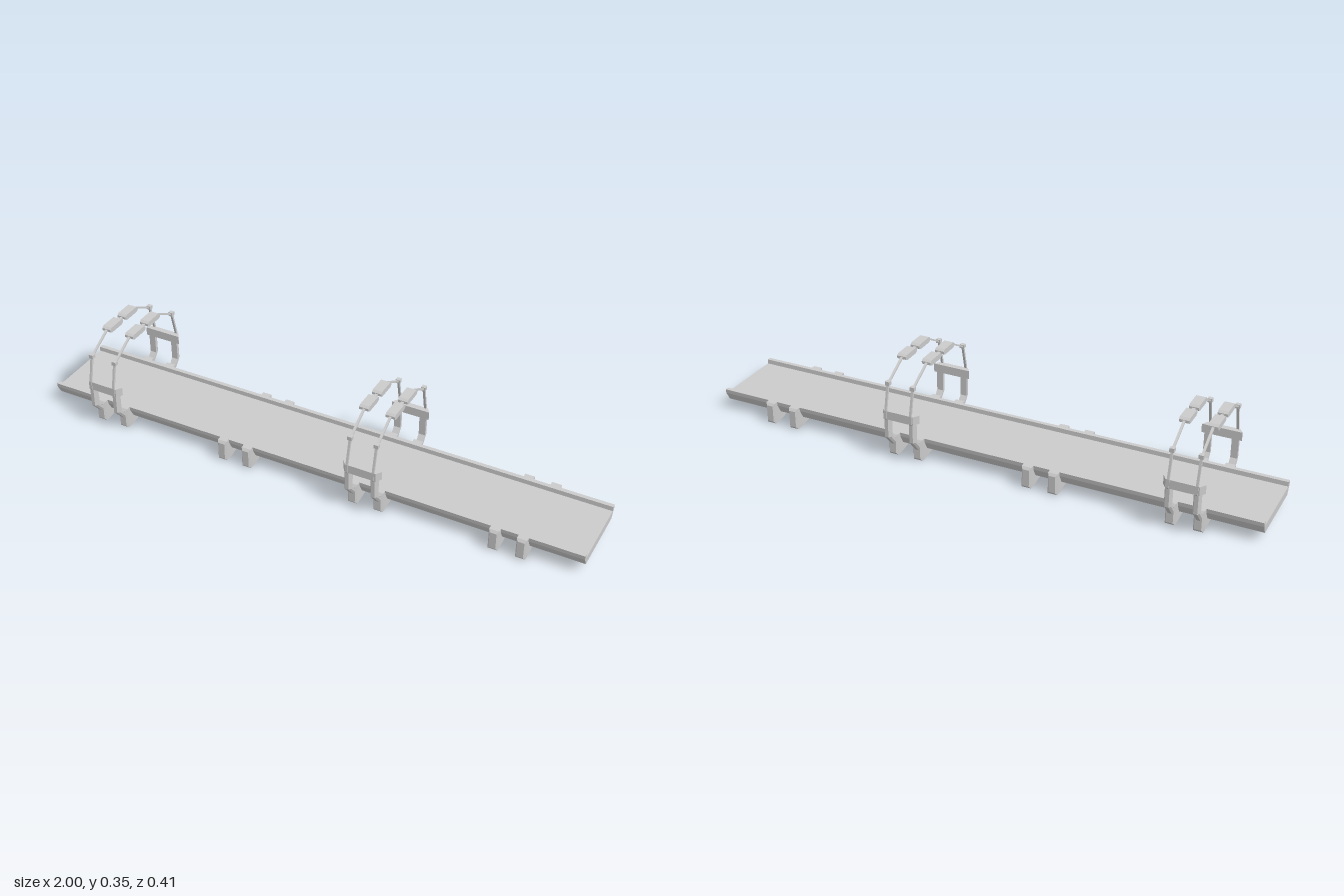
import * as THREE from 'three';

const material = new THREE.MeshStandardMaterial({ color: 0xcccccc, flatShading: true });

function add(parent, name, geometry, x = 0, y = 0, z = 0) {
  const mesh = new THREE.Mesh(geometry, material);
  mesh.name = name;
  mesh.position.set(x, y, z);
  parent.add(mesh);
  return mesh;
}

// Extrude a [z, y] outline along x, centred on x = 0
function extrudeX(points, width) {
  const shape = new THREE.Shape(points.map(([z, y]) => new THREE.Vector2(z, y)));
  const g = new THREE.ExtrudeGeometry(shape, { depth: width, bevelEnabled: false });
  return g.rotateY(-Math.PI / 2).translate(width / 2, 0, 0);
}

// Box whose outer (+z) face is scaled in x and y
function taperedBox(w, h, d, sx, sy) {
  const g = new THREE.BoxGeometry(w, h, d);
  const p = g.attributes.position;
  for (let i = 0; i < p.count; i++) {
    if (p.getZ(i) > 0) p.setXY(i, p.getX(i) * sx, p.getY(i) * sy);
  }
  g.computeVertexNormals();
  return g;
}

// Loft along stations of [inner z, inner y, outer z, outer y], outer corners chamfered
function postGeometry(stations, half) {
  const section = [[0, -1], [0.55, -1], [1, -0.55], [1, 0.55], [0.55, 1], [0, 1]];
  const n = section.length, pos = [], index = [];
  for (const [zi, yi, zo, yo] of stations) {
    for (const [t, s] of section) pos.push(s * half, yi + (yo - yi) * t, zi + (zo - zi) * t);
  }
  const last = (stations.length - 1) * n;
  for (let r = 0; r < last; r += n) {
    for (let j = 0; j < n; j++) {
      const a = r + j, b = r + (j + 1) % n;
      index.push(a, b, b + n, a, b + n, a + n);
    }
  }
  for (let j = 1; j < n - 1; j++) {
    index.push(0, j + 1, j, last, last + j, last + j + 1);
  }
  const g = new THREE.BufferGeometry();
  g.setAttribute('position', new THREE.Float32BufferAttribute(pos, 3));
  g.setIndex(index);
  const flat = g.toNonIndexed();
  flat.computeVertexNormals();
  return flat;
}

// Complete a half outline by mirroring it across z = 0
const mirrored = (half) => [...half, ...half.map(([z, y]) => [-z, y]).reverse()];

const deckOutline = mirrored([
  [0.123, 0.033], [0.132, 0.049], [0.14, 0.064], [0.142, 0.079], [0.127, 0.079], [0.126, 0.063],
]);
const ribOutline = mirrored([
  [0.003, 0.018], [0.08, 0.01], [0.125, 0.001], [0.157, 0], [0.157, 0.079], [0.14, 0.079],
  [0.138, 0.063], [0.12, 0.036],
]);
const rodOutline = [[0.202, 0.155], [0.205, 0.16], [0.205, 0.19], [0.184, 0.284], [0.177, 0.281], [0.198, 0.189], [0.195, 0.155]];
const roofRodOutline = [[0.176, 0.281], [0.176, 0.287], [0.083, 0.339], [0.083, 0.332]];
const padOutline = [
  [0.085, 0.331], [0.085, 0.34], [0.077, 0.346], [0.016, 0.346],
  [0.008, 0.34], [0.008, 0.331], [0.016, 0.326], [0.077, 0.326],
];
const postStations = [
  [0.154, 0.056, 0.154, 0.032], [0.182, 0.088, 0.202, 0.088], [0.182, 0.17, 0.202, 0.17],
];

// One side of a hoop pair; the other side is the same turned half round
function hoopSide() {
  const side = new THREE.Group();
  side.name = 'hoopSide';
  for (const x of [-0.047, 0.047]) {
    add(side, 'post', postGeometry(postStations, 0.012), x);
    add(side, 'upperRod', extrudeX(rodOutline, 0.008), x);
    add(side, 'joint', new THREE.BoxGeometry(0.016, 0.014, 0.015), x, 0.284, 0.18);
    add(side, 'roofRod', extrudeX(roofRodOutline, 0.008), x);
    add(side, 'roofPad', extrudeX(padOutline, 0.034), x);
  }
  add(side, 'crossbar', taperedBox(0.139, 0.031, 0.021, 0.8, 1), 0, 0.173, 0.192);
  return side;
}

export function createModel() {
  const model = new THREE.Group();
  model.name = 'walkway';

  // Channel-shaped deck with raised kerbs
  add(model, 'deck', extrudeX(deckOutline, 2));

  // Paired ribs below the deck
  for (const centre of [-0.75, -0.25, 0.25, 0.75]) {
    for (const offset of [-0.047, 0.047]) {
      const rib = new THREE.Group();
      rib.name = 'rib';
      rib.position.x = centre + offset;
      add(rib, 'ribBody', extrudeX(ribOutline, 0.034));
      for (const s of [1, -1]) {
        const cap = add(rib, 'ribEndCap', taperedBox(0.034, 0.079, 0.007, 0.7, 0.78), 0, 0.0395, s * 0.1605);
        if (s < 0) cap.rotation.y = Math.PI;
      }
      model.add(rib);
    }
  }

  // Hoops over every second pair of ribs
  for (const x of [-0.75, 0.25]) {
    const hoops = new THREE.Group();
    hoops.name = 'hoopPair';
    hoops.position.x = x;
    const front = hoopSide(), back = hoopSide();
    back.rotation.y = Math.PI;
    hoops.add(front, back);
    for (const dx of [-0.047, 0.047]) {
      add(hoops, 'padLink', new THREE.BoxGeometry(0.01, 0.006, 0.02), dx, 0.334, 0);
    }
    model.add(hoops);
  }
  return model;
}
